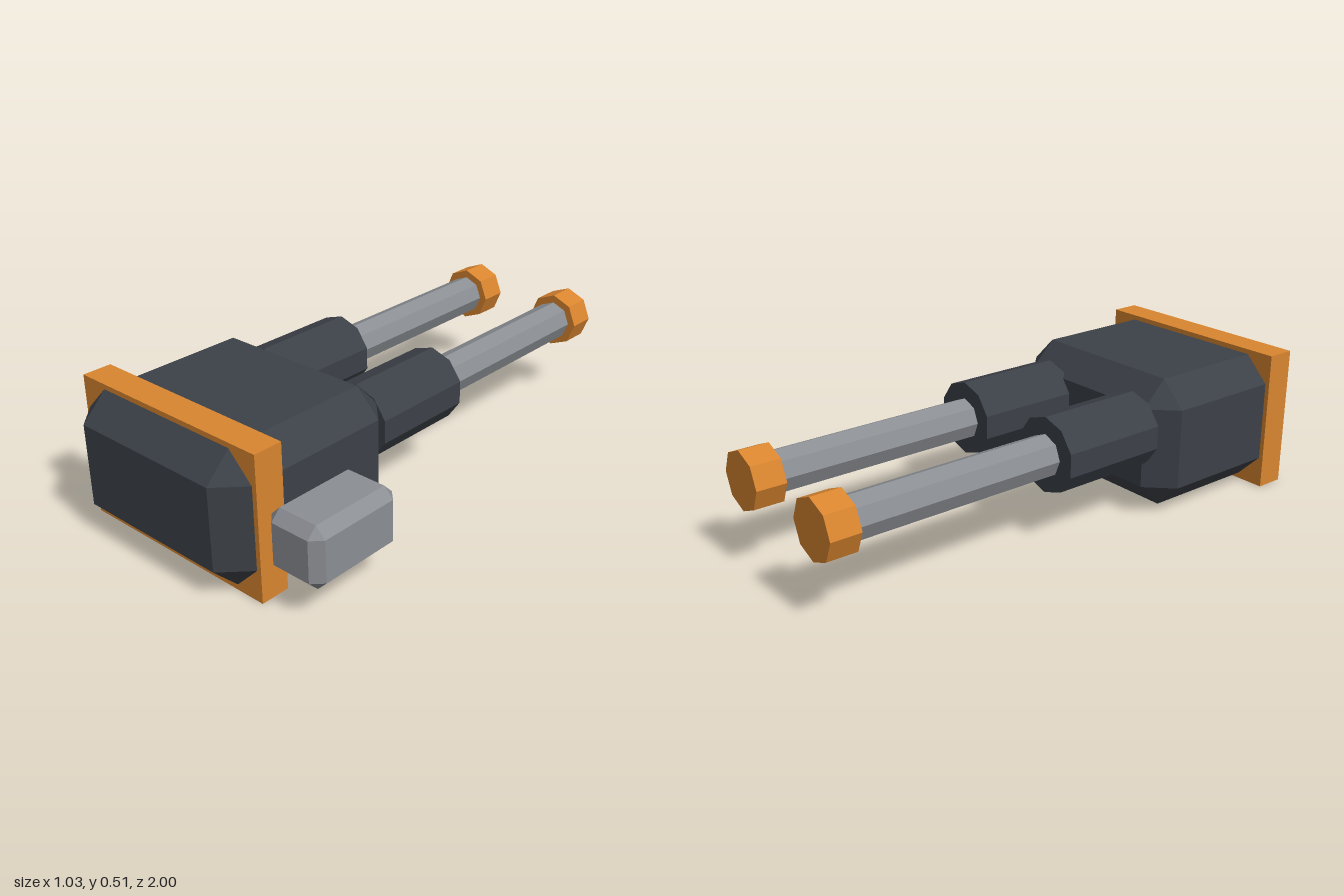
import * as THREE from 'three';
import { ConvexGeometry } from 'three/addons/geometries/ConvexGeometry.js';

const material = (name, color) => {
  const m = new THREE.MeshStandardMaterial({ color });
  m.name = name;
  m.flatShading = true;
  return m;
};

// Box between two corners with every edge cut off by c
function chamferedBox([x0, y0, z0], [x1, y1, z1], c) {
  const half = [(x1 - x0) / 2, (y1 - y0) / 2, (z1 - z0) / 2];
  const points = [];
  for (const sx of [-1, 1]) for (const sy of [-1, 1]) for (const sz of [-1, 1]) {
    for (let face = 0; face < 3; face++) {
      const [hx, hy, hz] = half.map((h, axis) => (axis === face ? h : h - c));
      points.push(new THREE.Vector3(sx * hx, sy * hy, sz * hz));
    }
  }
  return new ConvexGeometry(points).translate((x0 + x1) / 2, (y0 + y1) / 2, (z0 + z1) / 2);
}

// Prism along z with one corner pointing straight up
function prism(radius, sides, z0, z1) {
  return new THREE.CylinderGeometry(radius, radius, z1 - z0, sides)
    .rotateX(Math.PI / 2)
    .translate(0, 0, (z0 + z1) / 2);
}

export function createModel() {
  const dark = material('dark steel', 0x3c4148);
  const grey = material('light steel', 0x8b8e93);
  const orange = material('orange paint', 0xd9852f);

  const model = new THREE.Group();
  model.name = 'twinBarrelTurret';
  const add = (parent, name, geometry, mat) => {
    const mesh = new THREE.Mesh(geometry, mat);
    mesh.name = name;
    parent.add(mesh);
  };

  // Housing with the collar plate around its front
  add(model, 'housing', chamferedBox([-0.498, 0.02, 0.268], [0.275, 0.497, 1], 0.092), dark);
  add(model, 'collarPlate',
    new THREE.BoxGeometry(0.807, 0.515, 0.106).translate(-0.111, 0.2575, 0.855), orange);

  // Small box on the left side
  add(model, 'sideBox', chamferedBox([0.292, 0.112, 0.525], [0.511, 0.331, 0.889], 0.036), grey);

  // Two barrels, each with a sleeve and a muzzle cap
  for (const [name, x] of [['rightBarrel', -0.334], ['leftBarrel', 0.107]]) {
    const barrel = new THREE.Group();
    barrel.name = name;
    barrel.position.set(x, 0.314, 0);
    add(barrel, 'sleeve', prism(0.135, 10, -0.118, 0.283), dark);
    add(barrel, 'tube', prism(0.075, 8, -0.9, -0.1), grey);
    add(barrel, 'muzzleCap', prism(0.105, 8, -1, -0.893), orange);
    model.add(barrel);
  }
  return model;
}
